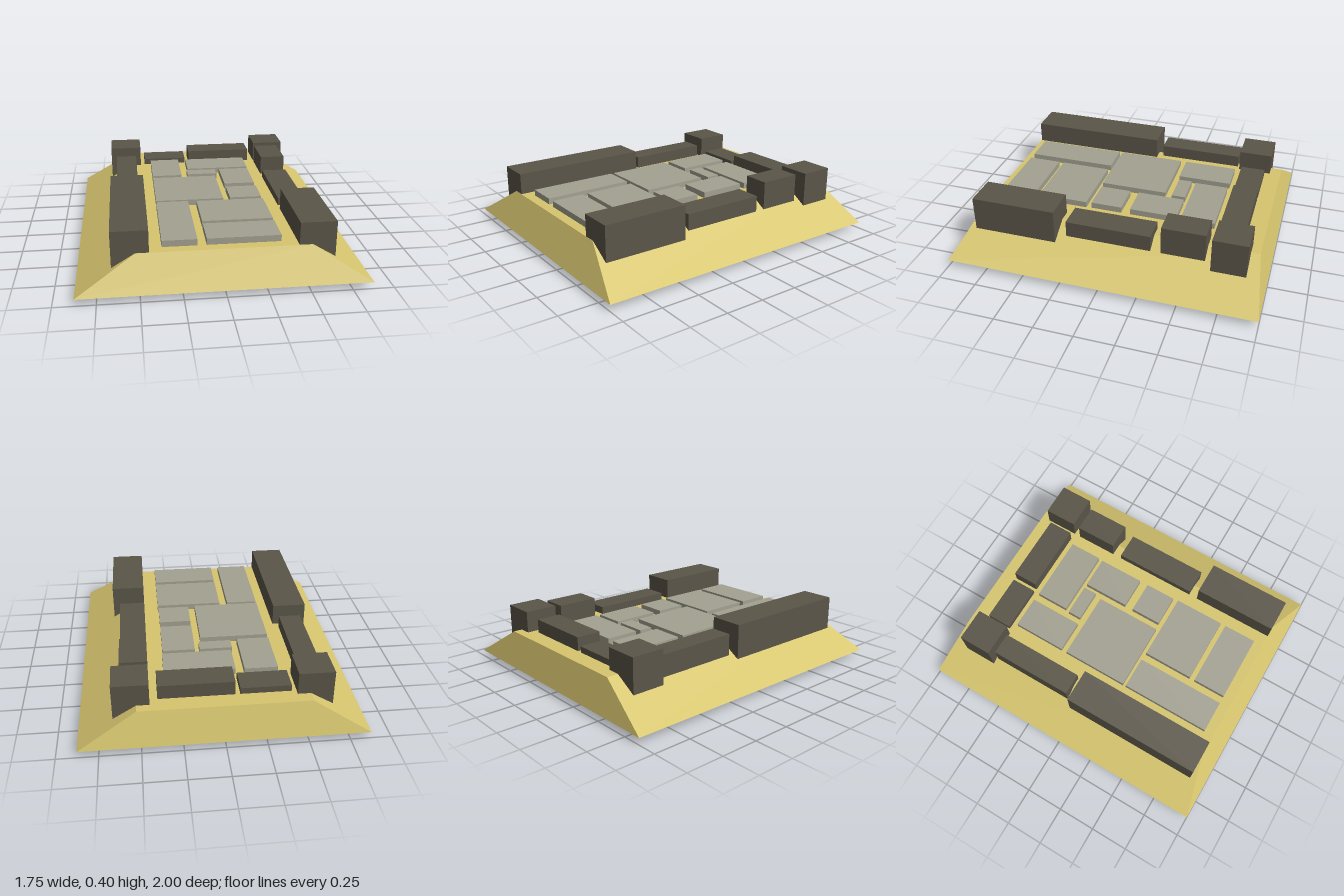
import * as THREE from 'three';

function colour(name, hex) {
  const material = new THREE.MeshStandardMaterial({ color: hex, side: THREE.DoubleSide });
  material.name = name;
  return material;
}
const sand = colour('sand', 0xd6c56e);
const slate = colour('dark stone', 0x5a5548);
const paving = colour('pale stone', 0xa3a191);

// Unit box without its bottom face
function openBox() {
  const geo = new THREE.BoxGeometry(1, 1, 1);
  const index = Array.from(geo.index.array);
  index.splice(18, 6);
  geo.setIndex(index);
  geo.clearGroups();
  return geo;
}

// Hollow block given by its limits on each axis
function block(name, material, [x0, x1], [z0, z1], [y0, y1]) {
  const geo = openBox().scale(x1 - x0, y1 - y0, z1 - z0);
  const mesh = new THREE.Mesh(geo, material);
  mesh.position.set((x0 + x1) / 2, (y0 + y1) / 2, (z0 + z1) / 2);
  mesh.name = name;
  return mesh;
}

// Hollow sloping mound: an open box pulled in at the top
function createMound() {
  const geo = openBox();
  const p = geo.attributes.position;
  for (let i = 0; i < p.count; i++) {
    const top = p.getY(i) > 0;
    const x = Math.sign(p.getX(i)) * (top ? 0.52 : 0.875);
    const z = p.getZ(i) > 0 ? (top ? 0.895 : 1) : (top ? -0.94 : -1);
    p.setXYZ(i, x, top ? 0.26 : 0.042, z);
  }
  geo.computeVertexNormals();
  const mesh = new THREE.Mesh(geo, sand);
  mesh.name = 'mound';
  return mesh;
}

export function createModel() {
  const model = new THREE.Group();
  model.name = 'ruinedFoundation';
  model.add(createMound());

  // Wall blocks around the rim: x limits, z limits, y limits
  const walls = new THREE.Group();
  walls.name = 'walls';
  [
    ['backRightCorner', [-0.66, -0.44], [-0.865, -0.645], [0.05, 0.4]],
    ['backLeftCorner', [0.44, 0.66], [-0.882, -0.663], [0.05, 0.4]],
    ['backWallLow', [-0.41, -0.1], [-0.83, -0.665], [0.012, 0.3]],
    ['backWallHigh', [-0.07, 0.393], [-0.83, -0.665], [0, 0.35]],
    ['rightWallLow', [-0.62, -0.475], [-0.63, -0.07], [0.06, 0.34]],
    ['rightWallHigh', [-0.66, -0.44], [-0.03, 0.893], [0.05, 0.4]],
    ['leftWallStub', [0.44, 0.612], [-0.62, -0.34], [0.06, 0.39]],
    ['leftWallLow', [0.44, 0.612], [-0.275, 0.28], [0.06, 0.31]],
    ['leftWallHigh', [0.44, 0.66], [0.34, 0.893], [0.05, 0.4]],
  ].forEach(([name, x, z, y]) => walls.add(block(name, slate, x, z, y)));
  model.add(walls);

  // Paving stones of the floor: x limits, z limits
  const floor = new THREE.Group();
  floor.name = 'floor';
  [
    [[-0.365, -0.155], [-0.625, -0.27]],
    [[-0.1, 0.345], [-0.62, -0.4]],
    [[-0.11, 0.1], [-0.37, -0.28]],
    [[0.13, 0.34], [-0.37, -0.06]],
    [[0.13, 0.34], [0, 0.205]],
    [[-0.365, 0.083], [-0.23, 0.213]],
    [[-0.365, -0.155], [0.235, 0.83]],
    [[-0.1, 0.345], [0.24, 0.575]],
    [[-0.1, 0.345], [0.61, 0.83]],
  ].forEach(([x, z]) => floor.add(block('pavingStone', paving, x, z, [0.01, 0.3])));
  model.add(floor);

  return model;
}
